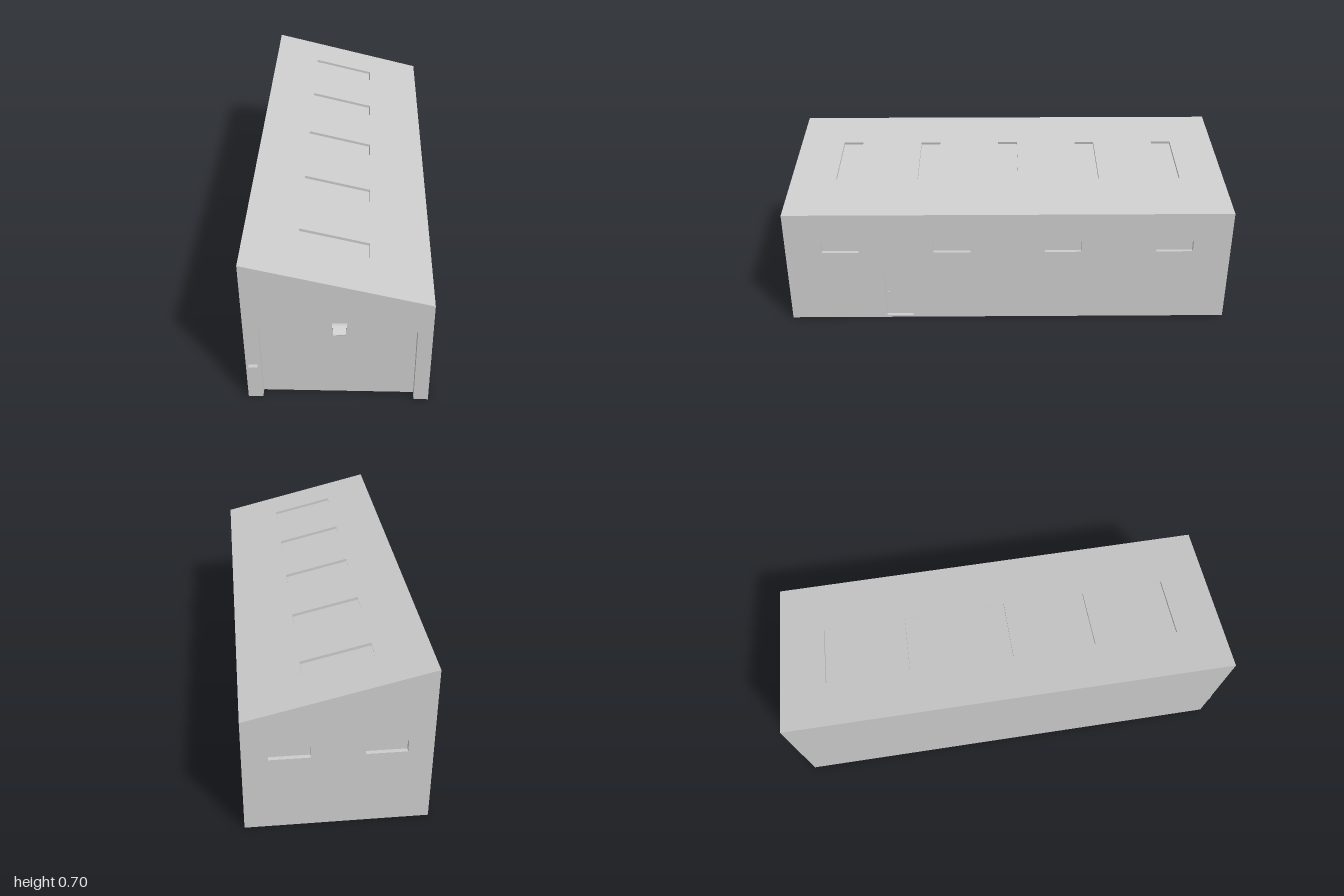
import * as THREE from 'three';

const L = -0.367, R = 0.366, F = 0.957, B = -1;       // footprint
const HIGH = 0.698, LOW = 0.515;                      // wall heights, left and right in plan
const GATE = { x0: -0.307, x1: 0.307, h: 0.38, d: 0.037 };
const mat = new THREE.MeshStandardMaterial({ color: 0xcccccc });
const V = (x, y, z) => new THREE.Vector3(x, y, z);
const pts = (list) => list.map(([x, y]) => new THREE.Vector2(x, y));

function mesh(name, geo, parent) {
  const m = new THREE.Mesh(geo, mat);
  m.name = name;
  parent.add(m);
  return m;
}

// Inward-facing box behind the plane z = 0, open at the front (and below if asked)
function recess({ x0, x1, y0, y1, d, openBelow }) {
  const g = new THREE.BoxGeometry(x1 - x0, y1 - y0, d);
  const faces = openBelow ? [0, 1, 2, 5] : [0, 1, 2, 3, 5];
  const old = Array.from(g.index.array);
  g.setIndex(faces.flatMap((f) => old.slice(f * 6, f * 6 + 6)));
  g.scale(-1, 1, 1);
  g.translate((x0 + x1) / 2, (y0 + y1) / 2, -d / 2);
  g.computeVertexNormals();
  return g;
}

// Flat face with recessed openings, placed by its origin and its two in-plane axes
function facade(name, outline, openings, origin, ax, ay) {
  const group = new THREE.Group();
  group.name = name;
  const shape = new THREE.Shape(pts(outline));
  for (const o of openings) {
    if (!o.openBelow) {
      shape.holes.push(new THREE.Path(pts([[o.x0, o.y0], [o.x0, o.y1], [o.x1, o.y1], [o.x1, o.y0]])));
    }
    mesh(o.name, recess(o), group);
  }
  mesh(name + 'Surface', new THREE.ShapeGeometry(shape), group);
  const m = new THREE.Matrix4().makeBasis(ax, ay, V(0, 0, 0).crossVectors(ax, ay));
  group.quaternion.setFromRotationMatrix(m);
  group.position.copy(origin);
  return group;
}

const windowAt = (x) => ({ name: 'window', x0: x - 0.081, x1: x + 0.081, y0: 0.333, y1: 0.385, d: 0.018 });

// Profile given as [z, y], extruded along x
function sideProfile(list, x0, x1) {
  const g = new THREE.ExtrudeGeometry(new THREE.Shape(pts(list.map(([z, y]) => [-z, y]))), { depth: x1 - x0, bevelEnabled: false });
  g.rotateY(Math.PI / 2);
  g.translate(x0, 0, 0);
  return g;
}

export function createModel() {
  const root = new THREE.Group();
  root.name = 'garage';

  // Front wall with the wide gate
  root.add(facade('frontWall',
    [[L, 0], [GATE.x0, 0], [GATE.x0, GATE.h], [GATE.x1, GATE.h], [GATE.x1, 0], [R, 0], [R, LOW], [L, HIGH]],
    [{ name: 'gate', x0: GATE.x0, x1: GATE.x1, y0: 0, y1: GATE.h, d: GATE.d, openBelow: true }],
    V(0, 0, F), V(1, 0, 0), V(0, 1, 0)));

  // Low side wall: four windows and a door
  const sideWindows = [0.717, 0.227, -0.263, -0.753].map((z) => windowAt(-z));
  const door = { name: 'door', x0: -0.53, x1: -0.41, y0: 0.01, y1: 0.247, d: 0.015 };
  root.add(facade('lowSideWall', [[-F, 0], [-B, 0], [-B, LOW], [-F, LOW]],
    [...sideWindows, door], V(R, 0, 0), V(0, 0, -1), V(0, 1, 0)));

  // Back wall with two windows
  root.add(facade('backWall', [[-R, 0], [-L, 0], [-L, HIGH], [-R, LOW]],
    [windowAt(-0.184), windowAt(0.187)], V(0, 0, B), V(-1, 0, 0), V(0, 1, 0)));

  // Blank high side wall
  root.add(facade('highSideWall', [[B, 0], [F, 0], [F, HIGH], [B, HIGH]], [], V(L, 0, 0), V(0, 0, 1), V(0, 1, 0)));

  // Sloping roof with five skylights
  const slope = V(R - L, LOW - HIGH, 0);
  const len = slope.length(), k = len / (R - L);
  const skylights = [0.71, 0.342, -0.024, -0.39, -0.757].map((z) => ({
    name: 'skylight', x0: (-0.16 - L) * k, x1: (0.12 - L) * k, y0: -z - 0.045, y1: -z + 0.045, d: 0.012,
  }));
  root.add(facade('roof', [[0, -F], [len, -F], [len, -B], [0, -B]],
    skylights, V(L, HIGH, 0), slope.normalize(), V(0, 0, -1)));

  // Underside, notched at the gate
  const gz = F - GATE.d;
  root.add(facade('floor',
    [[L, B], [R, B], [R, F], [GATE.x1, F], [GATE.x1, gz], [GATE.x0, gz], [GATE.x0, F], [L, F]],
    [], V(0, 0, 0), V(1, 0, 0), V(0, 0, 1)));

  // Door knob
  const knob = mesh('doorKnob', new THREE.SphereGeometry(0.005, 12, 8), root);
  knob.position.set(R - 0.011, 0.125, 0.516);

  // Control box beside the gate
  const box = mesh('controlBox', new THREE.BoxGeometry(0.036, 0.048, 0.016), root);
  box.position.set(-0.338, 0.161, F + 0.008);

  // Tilted lamp over the gate: bracket and head
  mesh('lampBracket', sideProfile([[F, 0.419], [F, 0.398], [0.968, 0.398], [0.974, 0.412], [0.968, 0.419]], -0.022, 0.036), root);
  mesh('lampHead', sideProfile([[F, 0.411], [F, 0.398], [0.984, 0.381], [1, 0.398], [0.996, 0.403], [0.966, 0.415]], -0.017, 0.031), root);

  return root;
}
